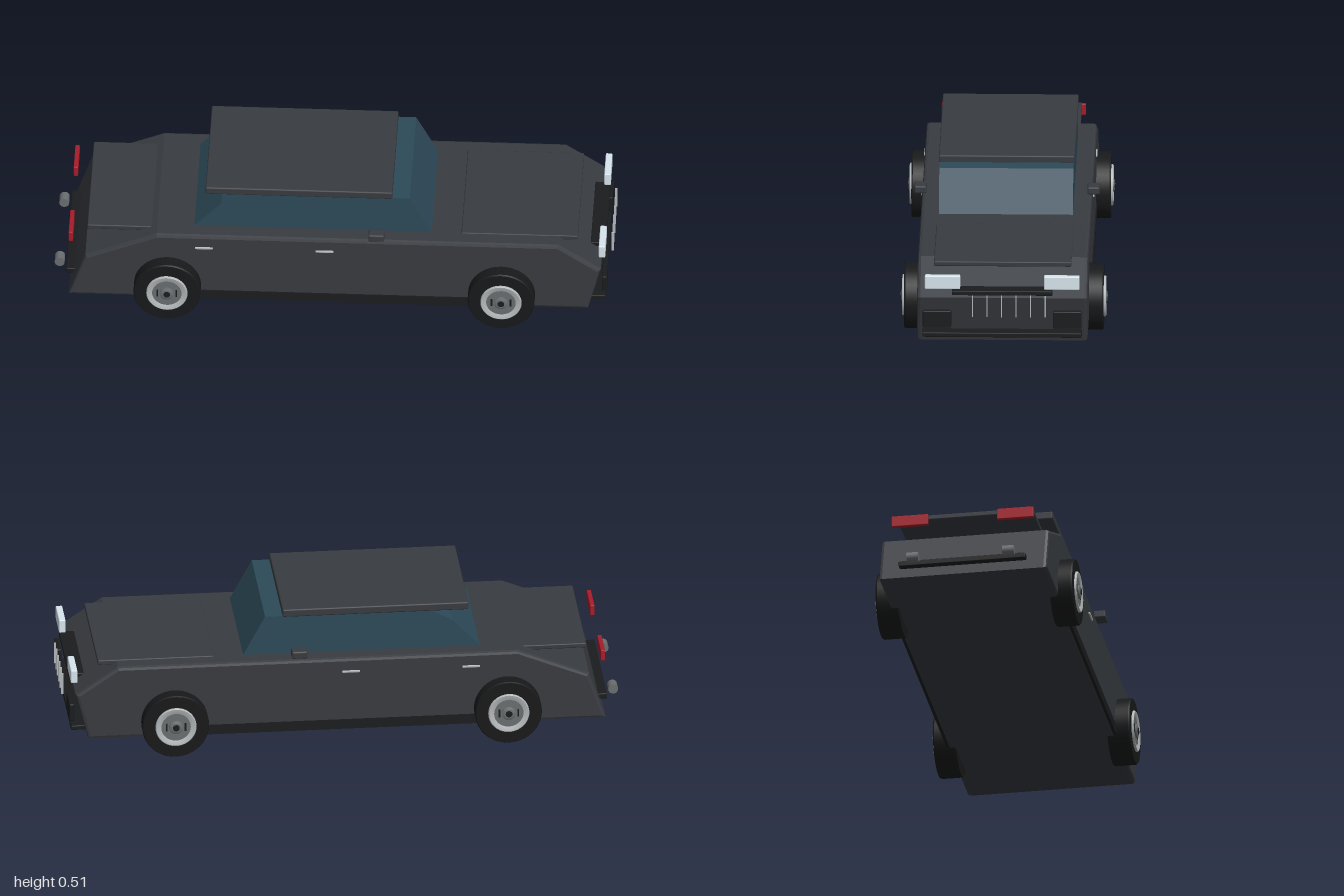
import * as THREE from 'three';
import { RoundedBoxGeometry } from 'three/addons/geometries/RoundedBoxGeometry.js';

const mat = (color, flatShading = false) => new THREE.MeshStandardMaterial({ color, flatShading });
const paint = mat(0x383b40, true);
const panel = mat(0x383b40);
const glass = mat(0x2d4a59, true);
const black = mat(0x1b1c1e);
const rubber = mat(0x18191a);
const silver = mat(0xb4b8ba);
const grey = mat(0x6a6e70);
const lamp = mat(0xd8e6ee);
const red = mat(0xa81c2a);

export function createModel() {
  const car = new THREE.Group();
  car.name = 'car';

  const add = (name, geometry, material, parent = car) => {
    const mesh = new THREE.Mesh(geometry, material);
    mesh.name = name;
    parent.add(mesh);
    return mesh;
  };

  // Box given by its limits on each axis, with an optional rounded edge
  const block = (name, [x0, x1], [y0, y1], [z0, z1], material, radius = 0) => {
    const size = [x1 - x0, y1 - y0, z1 - z0];
    const geometry = radius
      ? new RoundedBoxGeometry(...size, 2, radius)
      : new THREE.BoxGeometry(...size);
    const mesh = add(name, geometry, material);
    mesh.position.set((x0 + x1) / 2, (y0 + y1) / 2, (z0 + z1) / 2);
    return mesh;
  };

  // Side profile extruded across the car, bevelled inside its outline
  const slab = (name, points, halfWidth, bevel, material) => {
    const shape = new THREE.Shape(points.map(([x, y]) => new THREE.Vector2(x, y)));
    const depth = 2 * (halfWidth - bevel);
    const geometry = new THREE.ExtrudeGeometry(shape, {
      depth, bevelEnabled: bevel > 0, bevelSize: bevel, bevelThickness: bevel,
      bevelOffset: -bevel, bevelSegments: 2,
    });
    geometry.translate(0, 0, -depth / 2);
    return add(name, geometry, material);
  };

  // Body and cabin
  slab('body', [[-0.945, 0.06], [0.917, 0.06], [0.962, 0.235], [0.81, 0.338],
    [-0.63, 0.338], [-0.885, 0.235]], 0.305, 0.012, paint);
  slab('cabinGlass', [[-0.505, 0.33], [0.358, 0.33], [0.275, 0.485],
    [-0.32, 0.485], [-0.4, 0.44]], 0.24, 0, glass);
  block('roof', [-0.457, 0.212], [0.481, 0.51], [-0.243, 0.243], panel, 0.005);
  block('hood', [0.46, 0.877], [0.324, 0.342], [-0.246, 0.246], panel, 0.004);
  block('trunkLid', [-0.88, -0.56], [0.312, 0.33], [-0.246, 0.246], panel, 0.004);

  // Nose
  block('grilleBar', [0.92, 0.975], [0.248, 0.265], [-0.18, 0.18], black, 0.003);
  for (let i = 0; i < 6; i++) {
    const z = 0.105 - i * 0.052;
    block('grilleSlat', [0.992, 1], [0.175, 0.255], [z - 0.0018, z + 0.0018], silver);
  }
  block('frontBumper', [0.92, 0.977], [0.09, 0.107], [-0.285, 0.285], black, 0.003);

  // Tail
  block('rearBumper', [-0.957, -0.91], [0.1, 0.12], [-0.23, 0.23], black, 0.003);

  // Parts on both sides
  for (const s of [1, -1]) {
    const span = (a, b) => (s > 0 ? [a, b] : [-b, -a]);
    block('headlight', [0.953, 0.977], [0.271, 0.321], span(0.15, 0.277), lamp, 0.004);
    block('airIntake', [0.965, 0.983], [0.127, 0.191], span(0.182, 0.284), black, 0.004);
    block('tailLight', [-0.947, -0.931], [0.263, 0.304], span(0.125, 0.258), red, 0.003);
    block('sill', [-0.5, 0.51], [0.062, 0.098], span(0.27, 0.309), black);
    block('mirror', [0.13, 0.187], [0.355, 0.383], span(0.288, 0.332), panel, 0.006);
    for (const x of [-0.46, -0.028]) {
      block('doorHandle', [x - 0.032, x + 0.032], [0.282, 0.29], span(0.3, 0.31), silver, 0.002);
    }

    const pipe = add('exhaust', new THREE.CylinderGeometry(0.018, 0.018, 0.042, 20), grey);
    pipe.rotation.x = Math.PI / 2;
    pipe.position.set(-0.982, 0.12, s * 0.174);

    for (const x of [-0.59, 0.607]) car.add(makeWheel(x, s, add));
  }
  return car;
}

// Wheel built facing +z, turned round for the other side
function makeWheel(x, side, add) {
  const wheel = new THREE.Group();
  wheel.name = 'wheel';
  const turned = (name, profile, material) => {
    const geometry = new THREE.LatheGeometry(
      profile.map(([r, h]) => new THREE.Vector2(r, h)), 40);
    geometry.rotateX(Math.PI / 2);
    return add(name, geometry, material, wheel);
  };
  turned('tyre', [[0, -0.041], [0.117, -0.041], [0.117, -0.041], [0.12, -0.036],
    [0.12, -0.036], [0.12, 0.036], [0.12, 0.036], [0.117, 0.041], [0.117, 0.041],
    [0, 0.041]], rubber);
  turned('rimRing', [[0.074, 0.038], [0.074, 0.046], [0.071, 0.049], [0.071, 0.049],
    [0.053, 0.046], [0.053, 0.042]], silver);
  turned('wheelDisc', [[0.056, 0.04], [0.054, 0.044], [0.054, 0.044], [0, 0.044]], grey);
  turned('hubCap', [[0.025, 0.042], [0.025, 0.05], [0.025, 0.05], [0.017, 0.053],
    [0.017, 0.053], [0, 0.053]], grey);
  turned('hubCentre', [[0.012, 0.05], [0.012, 0.055], [0.012, 0.055], [0, 0.055]], black);
  // Slots in the disc
  for (const a of [0, Math.PI]) {
    const slot = add('discSlot', new THREE.BoxGeometry(0.006, 0.03, 0.004), black, wheel);
    slot.position.set(Math.cos(a) * 0.034, 0, 0.044);
  }
  wheel.position.set(x, 0.12, side * 0.316);
  if (side < 0) wheel.rotation.y = Math.PI;
  return wheel;
}
